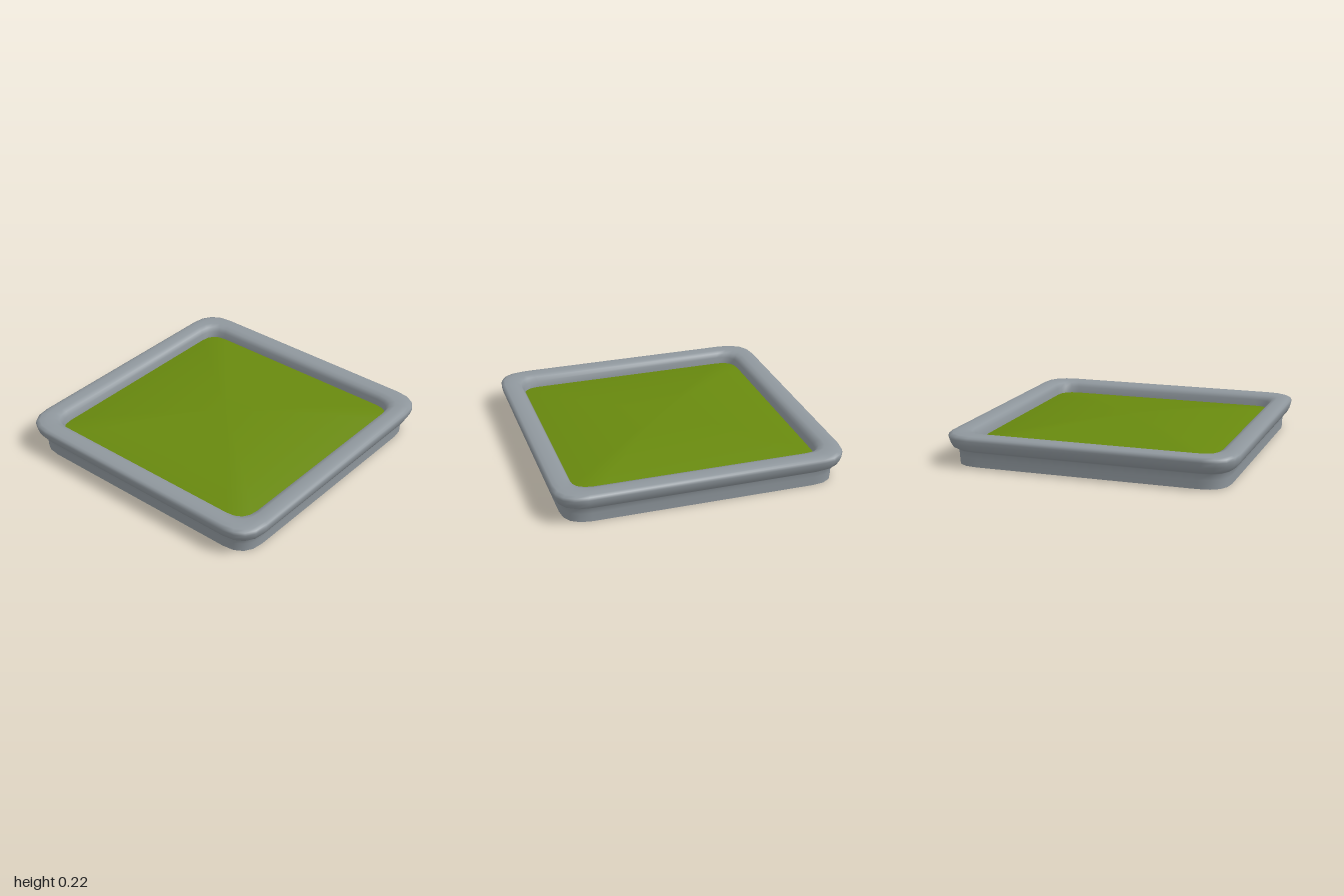
import * as THREE from 'three';

const CORNER_STEPS = 4;

// Square outline with half width h at height y; r is how far each curved corner reaches
function ring(h, y, r) {
  const points = [];
  for (let q = 0; q < 4; q++) {
    for (let s = 0; s <= CORNER_STEPS; s++) {
      const t = s / CORNER_STEPS;
      let x = h - r * t * t;
      let z = h - r * (1 - t) * (1 - t);
      for (let k = 0; k < q; k++) [x, z] = [-z, x];
      points.push(x, y, z);
    }
  }
  return points;
}

// Skin a list of [half width, height, corner reach] sections
function loft(name, sections, material) {
  const n = 4 * (CORNER_STEPS + 1);
  const positions = sections.flatMap(([h, y, r]) => ring(h, y, r));
  const index = [];
  for (let i = 0; i < sections.length - 1; i++) {
    for (let j = 0; j < n; j++) {
      const a = i * n + j;
      const b = i * n + (j + 1) % n;
      index.push(a, a + n, b, b, a + n, b + n);
    }
  }
  const geometry = new THREE.BufferGeometry();
  geometry.setAttribute('position', new THREE.Float32BufferAttribute(positions, 3));
  geometry.setIndex(index);
  geometry.computeVertexNormals();
  const mesh = new THREE.Mesh(geometry, material);
  mesh.name = name;
  return mesh;
}

export function createModel() {
  const stone = new THREE.MeshStandardMaterial({ name: 'grey stone', color: 0x8f979d });
  const grass = new THREE.MeshStandardMaterial({ name: 'grass green', color: 0x68890e });

  const model = new THREE.Group();
  model.name = 'squarePlanter';

  // Lawn sections: a shallow dome, highest in the middle
  const lawn = [0.846, 0.74, 0.6, 0.4, 0.2, 0.001].map((h) => [
    h, 0.136 + 0.076 * (1 - (h / 0.846) ** 2), h * 0.15,
  ]);

  model.add(
    // Flat underside
    loft('underside', [[0.001, 0, 0.0005], [0.94, 0, 0.18]], stone),
    // Base wall, rolled rim and inner wall
    loft('baseAndRim', [
      [0.94, 0, 0.18],
      [0.942, 0.06, 0.18],
      [0.947, 0.1, 0.18],
      [0.956, 0.109, 0.185],
      [0.975, 0.122, 0.19],
      [0.992, 0.155, 0.2],
      [1.0, 0.188, 0.2],
      [0.996, 0.208, 0.2],
      [0.978, 0.218, 0.195],
      [0.945, 0.222, 0.18],
      [0.9, 0.221, 0.16],
      [0.867, 0.21, 0.14],
      [0.847, 0.183, 0.13],
      [0.842, 0.12, 0.125],
    ], stone),
    loft('lawn', lawn, grass),
  );
  return model;
}
